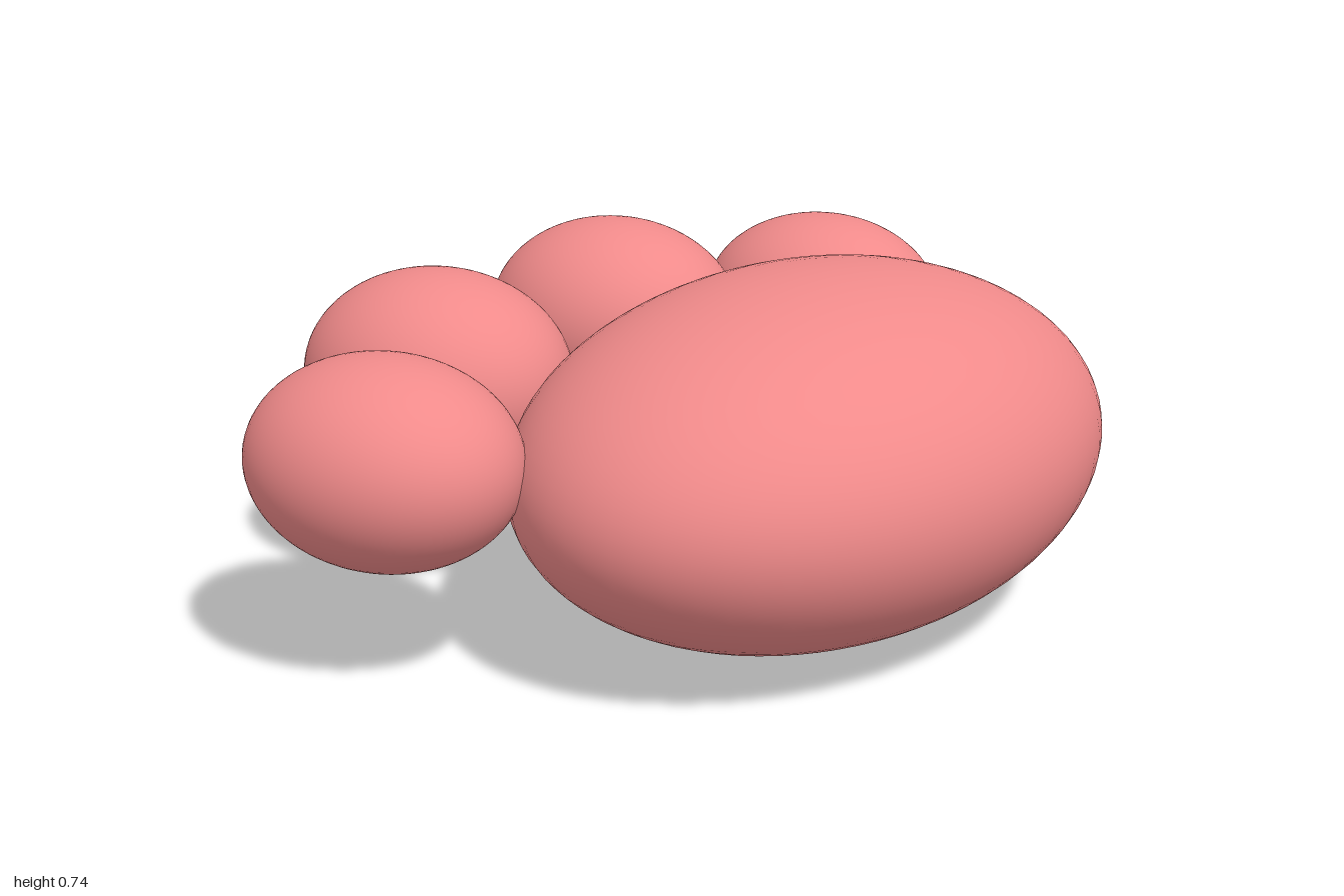
import * as THREE from 'three';

export function createModel() {
  const group = new THREE.Group();
  const material = new THREE.MeshStandardMaterial({ color: 0xf08a8a });
  const sphere = new THREE.SphereGeometry(1, 64, 40);

  // Smooth ellipsoid from its centre and its three radii
  function addEllipsoid(name, centre, radii) {
    const mesh = new THREE.Mesh(sphere, material);
    mesh.name = name;
    mesh.position.set(...centre);
    mesh.scale.set(...radii);
    group.add(mesh);
  }

  // Large main pad
  addEllipsoid('mainPad', [0, 0.373, 0.268], [0.743, 0.37, 0.54]);

  // Two mirrored pairs of toe pads
  for (const [side, s] of [['left', 1], ['right', -1]]) {
    addEllipsoid(side + 'InnerToe', [s * 0.302, 0.462, -0.5], [0.26, 0.229, 0.31]);
    addEllipsoid(side + 'OuterToe', [s * 0.755, 0.445, -0.222], [0.245, 0.21, 0.297]);
  }

  group.name = 'paw';
  return group;
}
